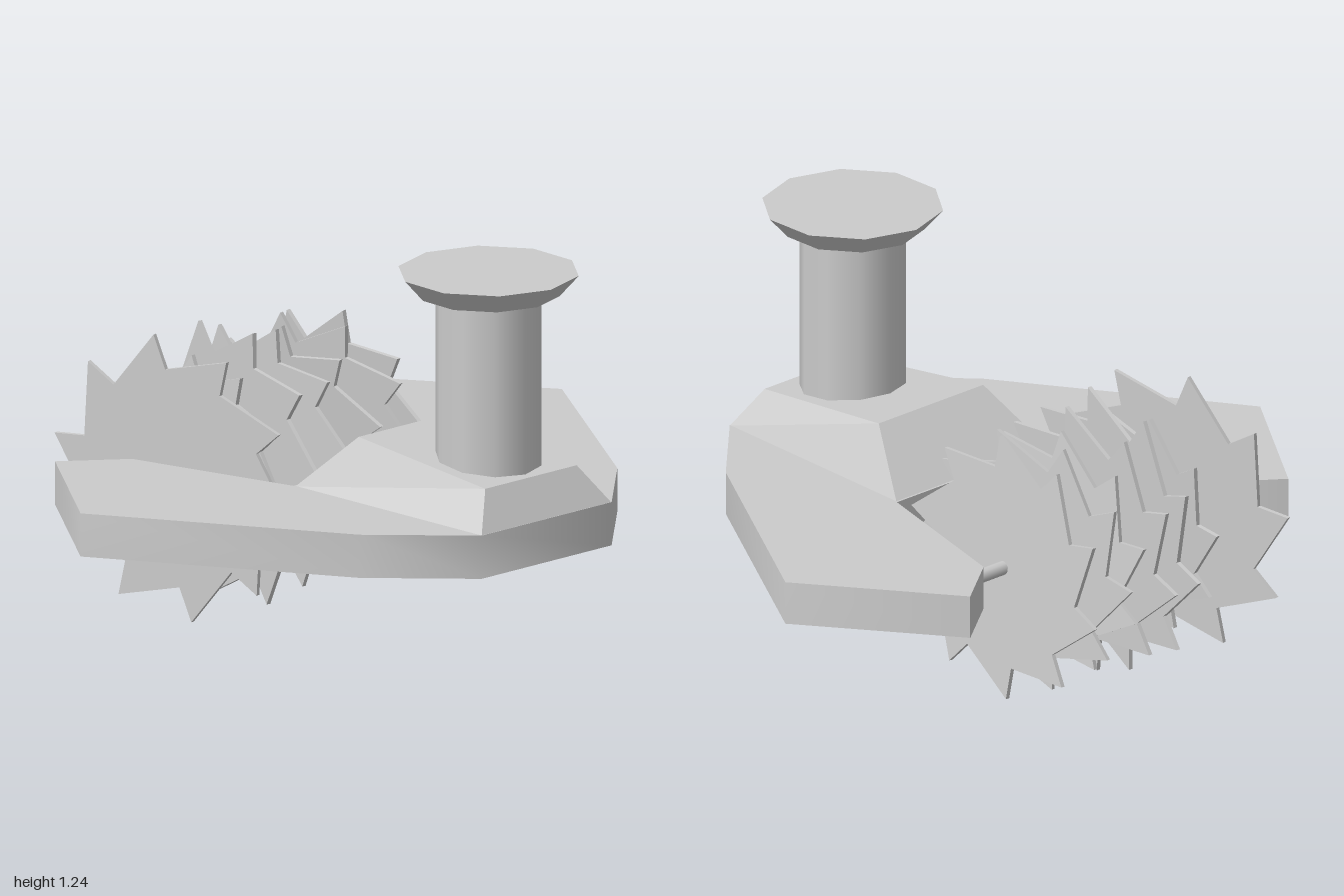
import * as THREE from 'three';
import { toCreasedNormals } from 'three/addons/utils/BufferGeometryUtils.js';

const grey = new THREE.MeshStandardMaterial({ color: 0xcccccc });
const AXLE_X = -0.43, AXLE_Y = 0.45;

function part(name, geometry, parent, x = 0, y = 0, z = 0) {
  const mesh = new THREE.Mesh(geometry, grey);
  mesh.name = name;
  mesh.position.set(x, y, z);
  parent.add(mesh);
  return mesh;
}

// Horseshoe plate: one half outline mirrored across z, extruded upward
function frameGeometry() {
  const half = [[0.05, 0.32], [-0.5, 0.48], [-0.64, 0.67], [-0.17, 1], [0.58, 0.535], [0.84, 0.27]];
  const outline = [...half, ...half.map(([x, z]) => [x, -z]).reverse()];
  const shape = new THREE.Shape(outline.map(([x, z]) => new THREE.Vector2(x, z)));
  const geo = new THREE.ExtrudeGeometry(shape, { depth: 0.137, bevelEnabled: false });
  geo.rotateX(-Math.PI / 2);
  return toCreasedNormals(geo, 1.25);
}

// Wedge-shaped block: a box whose eight corners are moved
function moundGeometry() {
  const geo = new THREE.BoxGeometry(1, 1, 1);
  const p = geo.attributes.position;
  for (let i = 0; i < p.count; i++) {
    const right = p.getX(i) > 0, top = p.getY(i) > 0, s = Math.sign(p.getZ(i));
    if (top) p.setXYZ(i, right ? 0.77 : 0.235, right ? 0.635 : 0.692, s * (right ? 0.19 : 0.22));
    else p.setXYZ(i, right ? 0.84 : 0.055, 0.515, s * (right ? 0.27 : 0.317));
  }
  return toCreasedNormals(geo, 0.1);
}

// Saw disc with ten raked teeth, centred on its own axis
function bladeGeometry(radius, phase) {
  const teeth = 10, step = (Math.PI * 2) / teeth, points = [];
  const polar = (r, a) => new THREE.Vector2(r * Math.cos(a), r * Math.sin(a));
  for (let i = 0; i < teeth; i++) {
    const a = phase + i * step;
    points.push(polar(radius * 0.76, a - 0.08), polar(radius, a));
  }
  const geo = new THREE.ExtrudeGeometry(new THREE.Shape(points), { depth: 0.014, bevelEnabled: false });
  geo.translate(0, 0, -0.007);
  return geo;
}

export function createModel() {
  const model = new THREE.Group();
  model.name = 'sawTool';

  part('frame', frameGeometry(), model, 0, 0.38, 0);
  part('mound', moundGeometry(), model);

  // Ten-sided grip with a flared cap
  const grip = part('grip', new THREE.CylinderGeometry(0.165, 0.165, 0.58, 10), model, 0.58, 0.9, 0);
  const cap = part('gripCap', new THREE.CylinderGeometry(0.28, 0.22, 0.068, 10), model, 0.58, 1.214, 0);
  grip.rotation.y = cap.rotation.y = Math.PI / 2;

  const axle = part('axle', new THREE.CylinderGeometry(0.022, 0.022, 1.06, 10), model, AXLE_X, AXLE_Y, 0);
  axle.rotation.x = Math.PI / 2;

  // Loose blades along the axle: z, radius, tilt about x, tilt about y, tooth phase
  const blades = new THREE.Group();
  blades.name = 'blades';
  model.add(blades);
  [
    [0.372, 0.45, 0, 0.19, 1.73],
    [0.24, 0.355, -0.03, 0, 0.5],
    [0.12, 0.445, 0, -0.1, 1.34],
    [0.005, 0.42, 0, 0, 0.15],
    [-0.135, 0.39, 0.1, 0.09, 0.35],
    [-0.235, 0.41, 0.06, 0.15, 0.0],
    [-0.325, 0.415, 0.08, 0.01, 0.2],
  ].forEach(([z, r, rx, ry, phase], i) => {
    const blade = part('blade' + (i + 1), bladeGeometry(r, phase), blades, AXLE_X, AXLE_Y, z);
    blade.rotation.set(rx, ry, 0);
  });

  return model;
}
